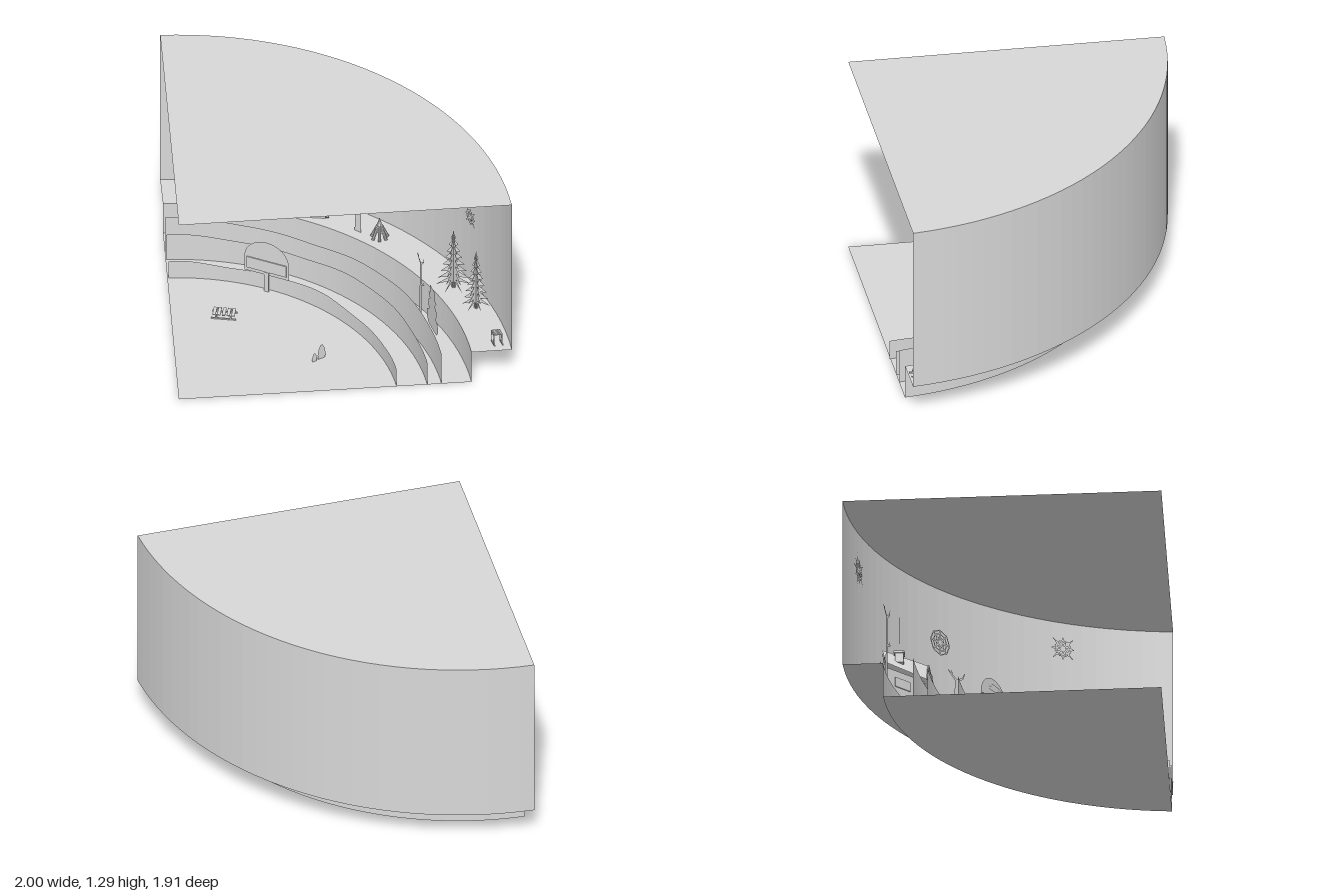
import * as THREE from 'three';
import { mergeGeometries } from 'three/addons/utils/BufferGeometryUtils.js';

const CX = -1.018, CZ = 1.064; // centre shared by every arc
const V = (x, y, z) => new THREE.Vector3(x, y, z);

export function createModel() {
  const root = new THREE.Group();
  root.name = 'winterDiorama';
  const card = new THREE.MeshStandardMaterial({ color: 0xd8d8d8, side: THREE.DoubleSide, flatShading: true });
  card.name = 'grey card';

  const add = (name, geo, parent = root) => {
    const m = new THREE.Mesh(geo, card);
    m.name = name;
    parent.add(m);
    return m;
  };

  // Strip between two curves a(t) and b(t)
  const ribbon = (a, b, n = 32) => {
    const pos = [], idx = [];
    for (let i = 0; i <= n; i++) {
      pos.push(...a(i / n).toArray(), ...b(i / n).toArray());
      if (i < n) { const k = i * 2; idx.push(k, k + 1, k + 2, k + 1, k + 3, k + 2); }
    }
    const g = new THREE.BufferGeometry();
    g.setAttribute('position', new THREE.Float32BufferAttribute(pos, 3));
    g.setIndex(idx);
    g.computeVertexNormals();
    return g;
  };
  const quad = (a, b, c, d) => ribbon(t => t ? b : a, t => t ? c : d, 1);

  // Point on an arc of radius r; t runs from the back left to the front right
  const arc = (r, y) => t => {
    const p0 = Math.asin(0.042 / r), p1 = Math.acos((0.095 + 0.039 * r) / r);
    const p = p0 + (p1 - p0) * t;
    return V(CX + r * Math.sin(p), typeof y === 'function' ? y(t) : y, CZ - r * Math.cos(p));
  };
  const apex = y => () => V(-1, y, 0.95);

  // Shell: floor, base wall, shelf, back wall and ceiling
  const TOP = 1.295, SHELF = 0.22, RB = 1.782, RW = 2.024;
  add('floor', ribbon(apex(0), arc(RB, 0)));
  add('baseWall', ribbon(arc(RB, 0), arc(RB, SHELF)));
  add('shelf', ribbon(arc(RB, SHELF), arc(RW, SHELF)));
  add('backWall', ribbon(arc(RW, SHELF), arc(RW, TOP)));
  add('ceiling', ribbon(apex(TOP), arc(RW, TOP)));

  // Wavy snow banks, front to back
  [[1.333, 0.113, 0.010, 13], [1.517, 0.172, 0.012, 9.8], [1.602, 0.232, 0.016, 9]].forEach(([r, h, a, f], i) =>
    add('snowBank' + (i + 1), ribbon(arc(r, 0), arc(r, t => h + a * Math.cos(f * t) + 0.004 * Math.sin(27 * t)), 48)));

  // Group at x on the arc of radius r, turned to face the centre
  const place = (name, x, r, y) => {
    const g = new THREE.Group(), dx = x - CX, dz = -Math.sqrt(r * r - dx * dx);
    g.name = name;
    g.position.set(x, y, CZ + dz);
    g.rotation.y = Math.atan2(-dx, -dz);
    root.add(g);
    return g;
  };
  const outline = pts => new THREE.Shape(pts.map(p => new THREE.Vector2(...p)));
  const cut = pts => new THREE.ShapeGeometry(outline(pts));
  const mirrored = pts => [...pts, ...pts.slice().reverse().map(([x, y]) => [-x, y])];
  // Tapered twig from one point to another
  const twig = ([x0, y0, x1, y1, w0, w1 = w0 * 0.4]) => {
    const l = Math.hypot(x1 - x0, y1 - y0), nx = -(y1 - y0) / l / 2, ny = (x1 - x0) / l / 2;
    return cut([[x0 - nx * w0, y0 - ny * w0], [x1 - nx * w1, y1 - ny * w1], [x1 + nx * w1, y1 + ny * w1], [x0 + nx * w0, y0 + ny * w0]]);
  };
  const twigs = list => mergeGeometries(list.map(twig));

  // Bare trees
  const bare = [[0, 0, 0.01, 0.5, 0.045, 0.026], [0.01, 0.49, -0.06, 0.55, 0.022], [0.01, 0.49, 0.065, 0.53, 0.022],
    [0.06, 0.525, 0.075, 0.57, 0.012], [-0.03, 0.52, -0.03, 0.56, 0.010], [0.01, 0.31, 0.08, 0.335, 0.018],
    [0.06, 0.33, 0.07, 0.355, 0.008]];
  add('trunkAndBranches', twigs(bare), place('leftBareTree', -0.58, 1.84, SHELF));
  const mid = place('middleBareTree', 0.165, 1.85, SHELF);
  const midTree = add('trunkAndBranches', twigs([...bare, [0, 0.23, -0.1, 0.25, 0.016]]), mid);
  midTree.scale.set(1.05, 0.83, 1);
  add('bird', cut([[-0.1, 0.25], [-0.07, 0.225], [-0.03, 0.23], [-0.015, 0.26], [-0.03, 0.285], [-0.05, 0.275], [-0.06, 0.255]]), mid);
  const rightTree = add('trunkAndBranches', twigs(bare), place('rightBareTree', 0.48, 1.61, 0.17));
  rightTree.scale.set(0.7, 0.84, 1);

  // Deer
  add('deerCutout', cut([[-0.065, 0], [-0.05, 0], [-0.04, 0.06], [0.02, 0.055], [0.03, 0], [0.045, 0], [0.045, 0.07],
    [0.055, 0.11], [0.075, 0.13], [0.07, 0.145], [0.055, 0.155], [0.055, 0.195], [0.04, 0.18], [0.03, 0.165],
    [0, 0.195], [0.005, 0.165], [0.01, 0.145], [0, 0.115], [-0.055, 0.11], [-0.07, 0.125], [-0.065, 0.09], [-0.055, 0.06]]),
  place('deer', -0.7, 1.83, SHELF));

  // Snowman
  const snowman = add('snowmanCutout', cut(mirrored([[0.045, 0], [0.065, 0.04], [0.06, 0.09], [0.035, 0.115], [0.05, 0.14],
    [0.045, 0.175], [0.028, 0.195], [0.038, 0.22], [0.045, 0.235], [0.028, 0.24], [0.028, 0.3]])),
  place('snowman', 0.54, 1.612, SHELF));
  snowman.scale.x = 1.6;

  // Fir trees: jagged cards crossing on the trunk
  const fir = (name, x, r, w, h) => {
    const g = place(name, x, r, SHELF), half = [[0.012, 0], [0.012, 0.05]];
    for (let i = 0; i < 8; i++) {
      const k = 1 - i / 8;
      half.push([w * k + 0.004, 0.025 + h * 0.93 * i / 8], [w * k * 0.3, 0.075 + h * 0.88 * i / 8]);
    }
    const geo = cut(mirrored([...half, [0.001, h]]));
    for (let i = 0; i < 3; i++) add('branches', geo, g).rotation.y = i * Math.PI / 3;
  };
  fir('largeFir', 0.695, 1.9, 0.1, 0.42);
  fir('smallFir', 0.815, 1.93, 0.08, 0.42);

  // Cabin: two walls meeting at the front corner, under a gabled roof
  const cabin = new THREE.Group();
  cabin.name = 'cabin';
  root.add(cabin);
  const L = V(-0.475, SHELF, -0.75), F = V(-0.265, SHELF, -0.54), R = V(-0.02, SHELF, -0.5);
  const beam = (name, a, b, rad, parent) => {
    const m = add(name, new THREE.CylinderGeometry(rad, rad, a.distanceTo(b), 8), parent);
    m.position.copy(a).lerp(b, 0.5);
    m.quaternion.setFromUnitVectors(V(0, 1, 0), b.clone().sub(a).normalize());
  };
  const up = V(0, 0.215, 0);
  [[L, F], [F, R]].forEach(([a, b]) => {
    add('wall', quad(a, b, b.clone().add(up), a.clone().add(up)), cabin);
    // Log ends at the corners
    const over = b.clone().sub(a).normalize().multiplyScalar(0.022);
    for (let i = 0; i < 4; i++) {
      const y = V(0, 0.03 + i * 0.053, 0);
      for (const [p, s] of [[a, -1], [b, 1]]) {
        const e = p.clone().add(y);
        beam('logEnd', e, e.clone().addScaledVector(over, s), 0.02, cabin);
      }
    }
  });
  const eaveL = V(-0.548, 0.425, -0.73), ridgeB = V(-0.39, 0.578, -0.76), ridgeF = V(-0.152, 0.578, -0.5);
  const eaveF = V(-0.27, 0.435, -0.5), eaveR = V(0.035, 0.425, -0.46), eaveB = V(-0.2, 0.425, -0.72);
  add('leftRoof', quad(eaveL, eaveF, ridgeF, ridgeB), cabin);
  add('rightRoof', quad(eaveB, eaveR, ridgeF, ridgeB), cabin);
  add('gable', quad(eaveF, eaveR, ridgeF, ridgeF), cabin);
  beam('gableTrim', eaveF, ridgeF, 0.006, cabin);
  beam('gableTrim', ridgeF, eaveR, 0.006, cabin);
  const wreath = add('wreath', new THREE.TorusGeometry(0.027, 0.007, 6, 16), cabin);
  wreath.position.set(-0.152, 0.485, -0.483);
  const shutter = add('window', new THREE.BoxGeometry(0.05, 0.06, 0.009), cabin);
  shutter.position.set(-0.08, 0.395, -0.503);
  const sideWindow = add('sideWindow', new THREE.BoxGeometry(0.12, 0.06, 0.009), cabin);
  sideWindow.position.set(-0.368, 0.36, -0.64);
  sideWindow.rotation.y = -Math.PI / 4;
  const chimney = add('chimney', new THREE.BoxGeometry(0.05, 0.07, 0.05), cabin);
  chimney.position.set(-0.36, 0.535, -0.66);
  const cap = add('chimneyCap', new THREE.BoxGeometry(0.065, 0.012, 0.065), cabin);
  cap.position.set(-0.36, 0.567, -0.66);
  const smoke = s => t => V(-0.36 - 0.015 * t + 0.016 * Math.sin(t * 8) + s * (0.012 + 0.012 * Math.sin(t * 3)), 0.57 + 0.23 * t, -0.66);
  add('smoke', ribbon(smoke(-1), smoke(1), 14), cabin);

  // Arched sign on a post
  const sign = place('sign', -0.4, 1.312, 0);
  const board = outline([[-0.145, 0.12], [0.145, 0.12], [0.145, 0.225]]);
  board.absellipse(0, 0.225, 0.145, 0.135, 0, Math.PI, false);
  add('signBoard', new THREE.ShapeGeometry(board), sign);
  add('signPost', new THREE.BoxGeometry(0.03, 0.14, 0.008), sign).position.y = 0.07;
  add('signPanel', new THREE.BoxGeometry(0.26, 0.08, 0.006), sign).position.set(0, 0.185, 0.004);
  add('signRelief', cut([[-0.06, 0.275], [0.035, 0.275], [0.04, 0.295], [0.085, 0.29], [0.085, 0.31], [0.04, 0.32],
    [-0.03, 0.32], [-0.035, 0.3], [-0.06, 0.295]]), sign).position.z = 0.006;

  // Snowflakes hanging by the back wall
  const flake = (name, x, y, rad, arms, web) => {
    const g = place(name, x, 1.99, y), list = [];
    const pt = (k, r) => [r * Math.cos(k * 2 * Math.PI / arms), r * Math.sin(k * 2 * Math.PI / arms)];
    for (let k = 0; k < arms; k++) {
      list.push([0, 0, ...pt(k, rad * (web || k % 2 ? 1 : 0.8)), 0.014, 0.005]);
      if (web) [0.4, 0.68, 0.95].forEach(f => list.push([...pt(k, rad * f), ...pt(k + 1, rad * f), 0.008, 0.008]));
      else [-0.5, 0.5].forEach(s => list.push([...pt(k, rad * 0.35), ...pt(k + s, rad * 0.62), 0.011, 0.005],
        [...pt(k, rad * 0.68), ...pt(k + s, rad * 0.45), 0.009, 0.006]));
    }
    add('crystal', twigs(list), g);
  };
  flake('starSnowflake', -0.62, 1.0, 0.11, 10, false);
  flake('webSnowflake', 0.265, 0.925, 0.085, 8, true);
  flake('upperSnowflake', 0.795, 1.11, 0.09, 8, false);
  flake('lowerSnowflake', 0.795, 0.74, 0.075, 8, false);

  // Campfire: ring of leaning logs with a flame
  const fire = place('campfire', 0.29, 1.88, SHELF);
  for (let i = 0; i < 7; i++) {
    const a = i * 2 * Math.PI / 7;
    beam('fireLog', V(0.05 * Math.cos(a), 0.005, 0.05 * Math.sin(a)), V(0.012 * Math.cos(a), 0.09, 0.012 * Math.sin(a)), 0.009, fire);
  }
  add('flame', new THREE.ConeGeometry(0.03, 0.1, 6), fire).position.y = 0.1;

  // Slatted sledge: two runners with cross slats
  const sledge = (g, w, d, h) => {
    for (const s of [-1, 1]) {
      add('runner', new THREE.BoxGeometry(w, 0.008, 0.008), g).position.set(0, 0.005, s * d / 2);
      for (const e of [-0.3, 0.3]) add('strut', new THREE.BoxGeometry(0.008, h, 0.008), g).position.set(e * w, h / 2, s * d / 2);
    }
    for (let i = -2; i <= 2; i++) add('slat', new THREE.BoxGeometry(w * 0.13, 0.006, d * 1.1), g).position.set(i * w * 0.19, h, 0);
  };
  const low = new THREE.Group();
  low.name = 'floorSledge';
  low.position.set(-0.67, 0, 0.134);
  low.rotation.y = -0.2;
  root.add(low);
  sledge(low, 0.15, 0.07, 0.03);
  const leaning = place('leaningSledge', 0.915, 1.945, 0.24);
  leaning.rotation.z = 0.3;
  sledge(leaning, 0.1, 0.05, 0.07);

  // Small pointed cutouts on the floor
  const leaf = cut(mirrored([[0.024, 0], [0.028, 0.03], [0.022, 0.07], [0.007, 0.1]]));
  [['largeFigure', -0.12, 0.6, 1], ['smallFigure', -0.165, 0.63, 0.6]].forEach(([name, x, z, s]) => {
    const m = add(name, leaf);
    m.position.set(x, 0, z);
    m.rotation.y = 0.5;
    m.scale.set(s, s, 1);
  });
  return root;
}
